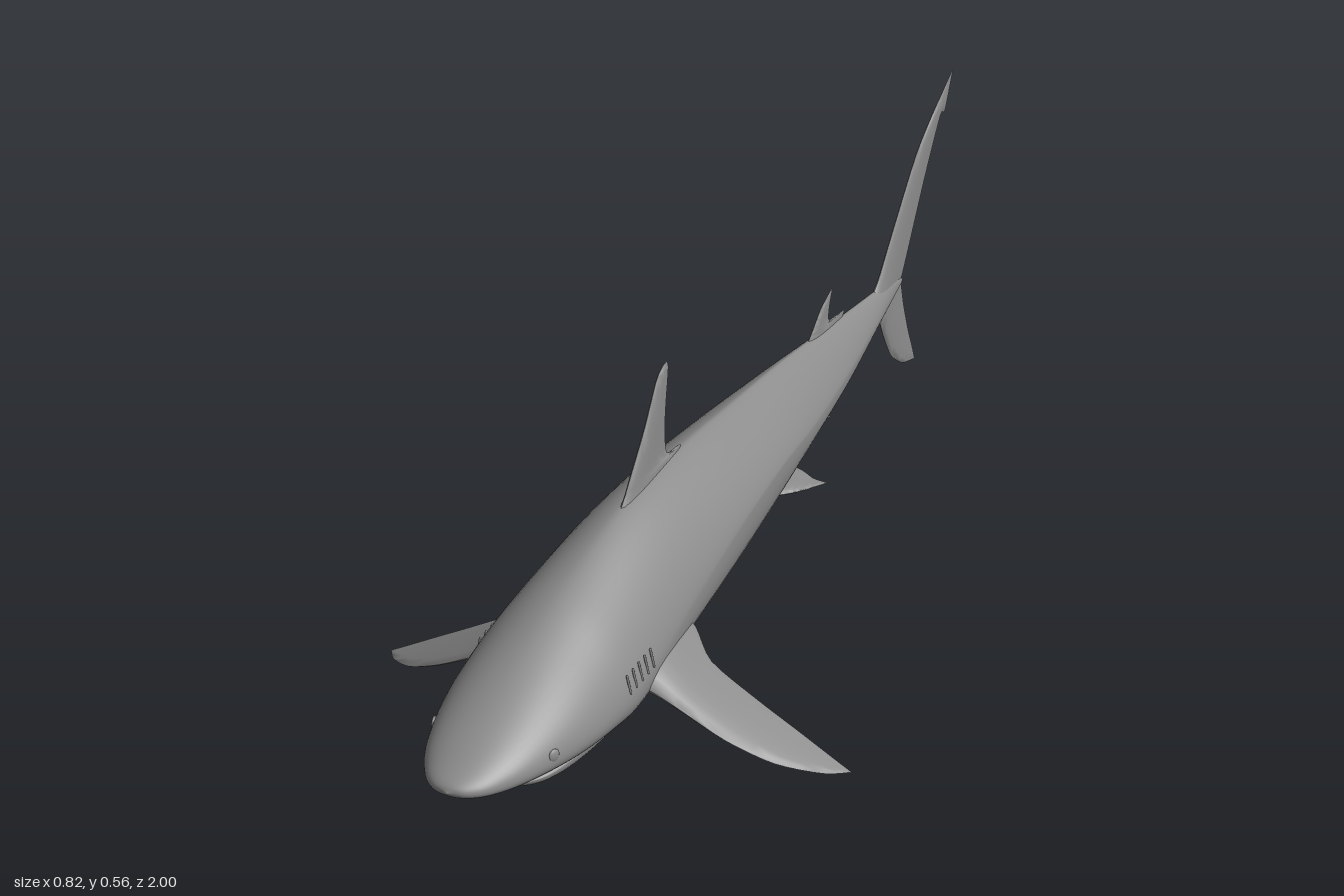
import * as THREE from 'three';
import { toCreasedNormals } from 'three/addons/utils/BufferGeometryUtils.js';

const grey = new THREE.MeshStandardMaterial({ color: 0x8c8c8c });
const V = (x, y, z) => new THREE.Vector3(x, y, z);

// Skin a list of closed rings of points, capping both ends
function loft(rings) {
  const n = rings[0].length, last = (rings.length - 1) * n, pos = [], idx = [];
  rings.forEach(r => r.forEach(p => pos.push(p.x, p.y, p.z)));
  for (let i = 0; i < rings.length - 1; i++) {
    for (let j = 0; j < n; j++) {
      const a = i * n + j, b = i * n + (j + 1) % n;
      idx.push(a, a + n, b, b, a + n, b + n);
    }
  }
  for (let j = 1; j < n - 1; j++) idx.push(0, j, j + 1, last, last + j + 1, last + j);
  // Signed volume tells whether the faces point outwards
  let volume = 0;
  const at = k => V(pos[k * 3], pos[k * 3 + 1], pos[k * 3 + 2]);
  for (let k = 0; k < idx.length; k += 3) volume += at(idx[k]).dot(at(idx[k + 1]).cross(at(idx[k + 2])));
  if (volume < 0) idx.reverse();
  const g = new THREE.BufferGeometry();
  g.setAttribute('position', new THREE.Float32BufferAttribute(pos, 3));
  g.setIndex(idx);
  g.computeVertexNormals();
  return g;
}

// Rounded hull from stations: z, top, bottom, half width, height of widest line, upper roundness
function hull(stations, steps) {
  const heights = new THREE.CatmullRomCurve3(stations.map(s => V(s[0], s[1], s[2])), false, 'catmullrom', 0.5);
  const widths = new THREE.CatmullRomCurve3(stations.map(s => V(s[3], s[4], s[5])), false, 'catmullrom', 0.5);
  const rings = [];
  for (let i = 0; i <= steps; i++) {
    const { x: z, y: top, z: bottom } = heights.getPoint(i / steps);
    const { x: w, y: mid, z: p } = widths.getPoint(i / steps);
    const ring = [];
    for (let j = 0; j < 56; j++) {
      const a = j / 56 * Math.PI * 2, c = Math.cos(a), s = Math.sin(a);
      const e = 2 / (s > 0 ? p : 2.25);
      const h = s > 0 ? top - mid : mid - bottom;
      ring.push(V(w * Math.sign(c) * Math.abs(c) ** e, mid + h * Math.sign(s) * Math.abs(s) ** e, z));
    }
    rings.push(ring);
  }
  return loft(rings);
}

// Fin from sections: leading point, trailing point, half thickness; n is the thickness direction
function fin(sections, n, steps = 24) {
  const curve = pts => new THREE.CatmullRomCurve3(pts, false, 'catmullrom', 0.4);
  const lead = curve(sections.map(s => V(...s[0])));
  const trail = curve(sections.map(s => V(...s[1])));
  const thick = curve(sections.map(s => V(s[2], 0, 0)));
  const rings = [];
  for (let i = 0; i <= steps; i++) {
    const a = lead.getPoint(i / steps), b = trail.getPoint(i / steps), t = thick.getPoint(i / steps).x;
    const ring = [];
    for (let j = 0; j < 20; j++) {
      const q = j / 20 * Math.PI * 2, u = (1 - Math.cos(q)) / 2;
      ring.push(a.clone().lerp(b, u).addScaledVector(n, t * Math.sin(q) * (1.3 - u)));
    }
    rings.push(ring);
  }
  return toCreasedNormals(loft(rings), 0.9);
}

// Fin standing in the middle plane, given as [z, y] pairs
const midFin = sections => fin(sections.map(([a, b, t]) => [[0, a[1], a[0]], [0, b[1], b[0]], t]), V(1, 0, 0));

export function createModel() {
  const model = new THREE.Group();
  const add = (name, geometry) => {
    const m = new THREE.Mesh(geometry, grey);
    m.name = name;
    model.add(m);
    return m;
  };

  // Body with a side ridge that sinks and sharpens towards the tail
  add('body', hull([
    [1.0, 0.231, 0.229, 0.001, 0.23, 2],
    [0.99, 0.241, 0.219, 0.03, 0.228, 2],
    [0.96, 0.253, 0.207, 0.058, 0.225, 2],
    [0.9, 0.275, 0.191, 0.088, 0.222, 1.95],
    [0.8, 0.307, 0.168, 0.116, 0.215, 1.85],
    [0.7, 0.335, 0.147, 0.130, 0.21, 1.75],
    [0.6, 0.357, 0.129, 0.134, 0.21, 1.7],
    [0.4, 0.385, 0.115, 0.122, 0.235, 1.55],
    [0.2, 0.377, 0.113, 0.110, 0.252, 1.45],
    [0.0, 0.352, 0.125, 0.094, 0.25, 1.38],
    [-0.2, 0.325, 0.15, 0.074, 0.228, 1.35],
    [-0.4, 0.29, 0.16, 0.05, 0.215, 1.35],
    [-0.6, 0.255, 0.184, 0.024, 0.212, 1.5],
    [-0.7, 0.238, 0.195, 0.011, 0.212, 1.8],
    [-0.765, 0.215, 0.205, 0.003, 0.21, 2],
  ], 84));

  // Lower jaw, set back under the snout
  add('lowerJaw', hull([
    [0.878, 0.18, 0.174, 0.03, 0.177, 2],
    [0.866, 0.184, 0.163, 0.06, 0.178, 2],
    [0.83, 0.19, 0.152, 0.086, 0.179, 2],
    [0.76, 0.2, 0.139, 0.104, 0.18, 2],
    [0.66, 0.2, 0.131, 0.112, 0.18, 2],
    [0.52, 0.2, 0.128, 0.1, 0.18, 2],
  ], 30));

  // Fins of the middle plane
  add('dorsalFin', midFin([
    [[0.44, 0.36], [0.2, 0.37], 0.011],
    [[0.40, 0.395], [0.195, 0.383], 0.008],
    [[0.385, 0.412], [0.245, 0.394], 0.007],
    [[0.325, 0.48], [0.25, 0.455], 0.006],
    [[0.28, 0.543], [0.238, 0.53], 0.004],
    [[0.255, 0.558], [0.236, 0.548], 0.002],
    [[0.243, 0.56], [0.24, 0.559], 0.0005],
  ]));
  add('secondDorsalFin', midFin([
    [[-0.3, 0.28], [-0.47, 0.265], 0.006],
    [[-0.33, 0.302], [-0.49, 0.285], 0.004],
    [[-0.35, 0.315], [-0.425, 0.296], 0.004],
    [[-0.385, 0.34], [-0.422, 0.322], 0.003],
    [[-0.435, 0.358], [-0.436, 0.356], 0.0005],
  ]));
  add('analFin', midFin([
    [[-0.3, 0.185], [-0.45, 0.19], 0.006],
    [[-0.33, 0.16], [-0.468, 0.165], 0.004],
    [[-0.35, 0.14], [-0.422, 0.15], 0.004],
    [[-0.385, 0.112], [-0.42, 0.122], 0.003],
    [[-0.432, 0.095], [-0.433, 0.096], 0.0005],
  ]));
  add('upperTailLobe', midFin([
    [[-0.6, 0.23], [-0.74, 0.2], 0.012],
    [[-0.65, 0.262], [-0.765, 0.212], 0.008],
    [[-0.715, 0.33], [-0.795, 0.255], 0.006],
    [[-0.825, 0.44], [-0.87, 0.37], 0.005],
    [[-0.915, 0.495], [-0.943, 0.468], 0.004],
    [[-0.94, 0.507], [-0.965, 0.467], 0.003],
    [[-0.998, 0.537], [-1.0, 0.536], 0.0005],
  ]));
  add('lowerTailLobe', midFin([
    [[-0.62, 0.215], [-0.755, 0.225], 0.01],
    [[-0.655, 0.185], [-0.765, 0.205], 0.007],
    [[-0.685, 0.13], [-0.782, 0.15], 0.006],
    [[-0.725, 0.07], [-0.808, 0.085], 0.004],
    [[-0.785, 0.024], [-0.833, 0.033], 0.002],
    [[-0.845, 0.002], [-0.846, 0.004], 0.0005],
  ]));

  for (const side of [1, -1]) {
    const name = side > 0 ? 'left' : 'right';

    // Pectoral fin, sloping down and out from a thick root
    const P = (x, z) => [side * x, 0.022 + 0.59 * (0.41 - x), z];
    add(name + 'PectoralFin', fin([
      [P(0.09, 0.61), P(0.09, 0.39), 0.028],
      [P(0.13, 0.588), P(0.125, 0.405), 0.02],
      [P(0.175, 0.58), P(0.17, 0.445), 0.011],
      [P(0.25, 0.57), P(0.25, 0.449), 0.007],
      [P(0.32, 0.542), P(0.32, 0.447), 0.004],
      [P(0.38, 0.49), P(0.38, 0.446), 0.002],
      [P(0.41, 0.447), P(0.411, 0.445), 0.0005],
    ], V(side * 0.51, 0.86, 0)));

    // Pelvic fin
    add(name + 'PelvicFin', fin([
      [[side * 0.02, 0.165, -0.01], [side * 0.02, 0.155, -0.17], 0.008],
      [[side * 0.06, 0.156, -0.06], [side * 0.06, 0.146, -0.168], 0.006],
      [[side * 0.085, 0.148, -0.1], [side * 0.085, 0.142, -0.158], 0.004],
      [[side * 0.11, 0.14, -0.153], [side * 0.111, 0.14, -0.157], 0.0005],
    ], V(side * 0.25, 0.97, 0)));

    // Eye, nearly flush with the head
    const eye = add(name + 'Eye', new THREE.SphereGeometry(0.011, 16, 12));
    eye.scale.set(0.4, 1, 1);
    eye.position.set(side * 0.1, 0.23, 0.852);
    eye.rotation.y = side * -0.3;

    // Gill slits
    for (let i = 0; i < 5; i++) {
      const slit = add(name + 'GillSlit', new THREE.CapsuleGeometry(0.002, 0.03, 4, 8));
      slit.position.set(side * (0.1285 + i * 0.0002), 0.24, 0.655 - i * 0.02);
      slit.rotation.z = side * 0.2;
    }
  }
  return model;
}
